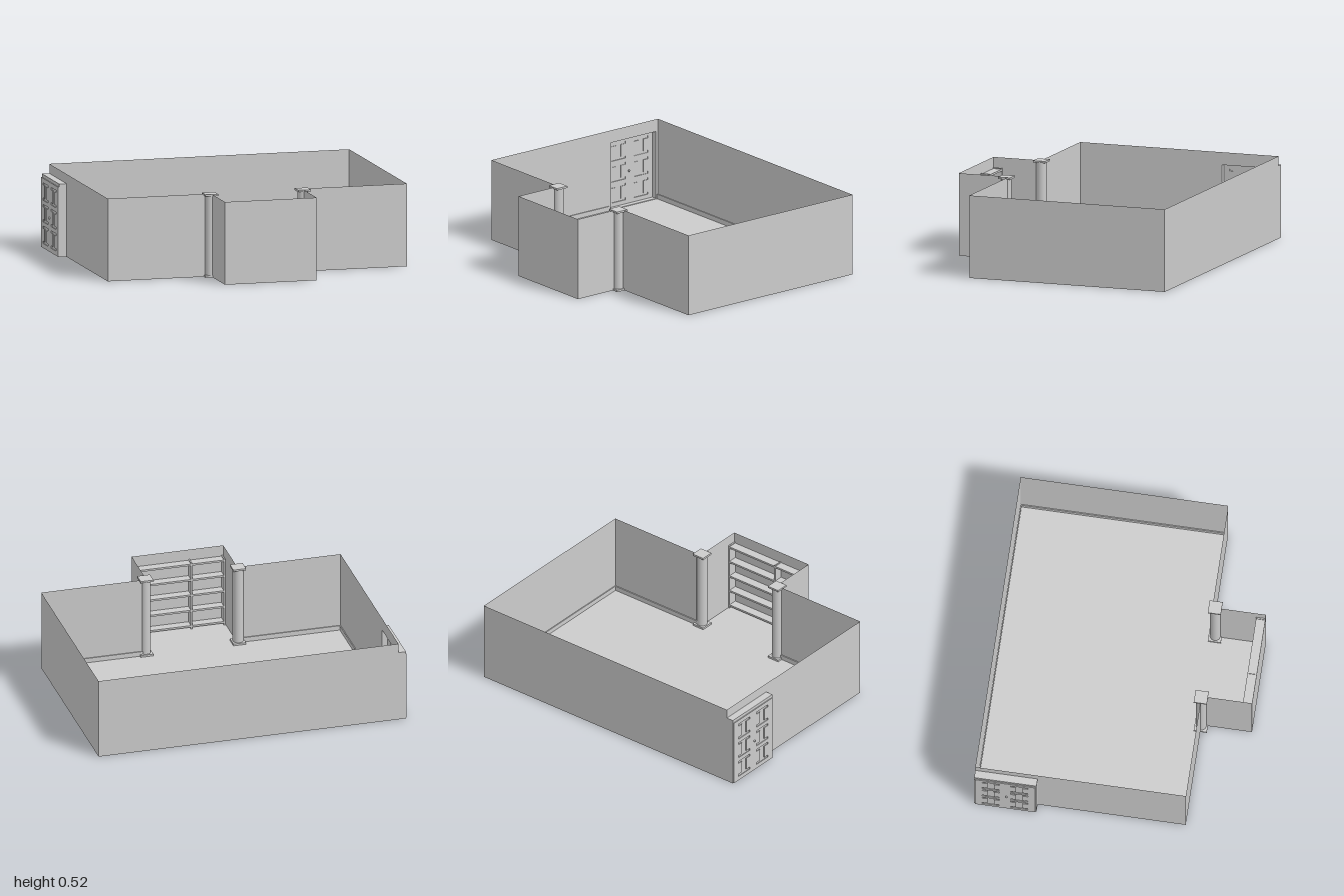
import * as THREE from 'three';

const H = 0.52, LEFT = -0.935, BACK = -0.82;

export function createModel() {
  const room = new THREE.Group();
  room.name = 'room';
  const mat = new THREE.MeshStandardMaterial({ color: 0xcccccc });
  const sheet = new THREE.MeshStandardMaterial({ color: 0xcccccc, side: THREE.DoubleSide });

  const add = (name, geo, parent = room, material = mat) => {
    const mesh = new THREE.Mesh(geo, material);
    mesh.name = name;
    parent.add(mesh);
    return mesh;
  };
  // box given by its extents on each axis
  const box = (name, x0, x1, y0, y1, z0, z1, parent) => {
    const m = add(name, new THREE.BoxGeometry(x1 - x0, y1 - y0, z1 - z0), parent);
    m.position.set((x0 + x1) / 2, (y0 + y1) / 2, (z0 + z1) / 2);
    return m;
  };
  // thin upright wall between two floor points
  const wall = (name, [x0, z0], [x1, z1], y0 = 0, y1 = H) => {
    const m = add(name, new THREE.PlaneGeometry(Math.hypot(x1 - x0, z1 - z0), y1 - y0), room, sheet);
    m.position.set((x0 + x1) / 2, (y0 + y1) / 2, (z0 + z1) / 2);
    m.rotation.y = -Math.atan2(z1 - z0, x1 - x0);
  };

  // Floor with the front alcove
  const plan = [[LEFT, BACK], [0.997, BACK], [0.997, 0.48], [0.32, 0.48], [0.32, 0.815],
    [-0.27, 0.815], [-0.27, 0.498], [LEFT, 0.498]];
  const floorShape = new THREE.Shape(plan.map(([x, z]) => new THREE.Vector2(x, -z)));
  add('floor', new THREE.ShapeGeometry(floorShape), room, sheet).rotation.x = -Math.PI / 2;

  // Walls; the last stretch leaves the doorway open below its lintel
  const names = ['backWall', 'leftWall', 'frontWallLeft', 'alcoveSideLeft', 'alcoveFront',
    'alcoveSideRight', 'frontWallRight'];
  names.forEach((n, i) => wall(n, plan[i], plan[i + 1]));
  wall('rightWall', plan[7], [LEFT, -0.43]);
  wall('doorLintelWall', [LEFT, -0.43], [LEFT, BACK], 0.46, H);

  // Baseboards along the main room
  const t = 0.006, b = 0.03;
  box('baseboardBack', LEFT, 0.997, 0, b, BACK, BACK + t);
  box('baseboardLeft', 0.997 - t, 0.997, 0, b, BACK, 0.48);
  box('baseboardFrontLeft', 0.32, 0.997, 0, b, 0.48 - t, 0.48);
  box('baseboardFrontRight', LEFT, -0.27, 0, b, 0.498 - t, 0.498);
  box('baseboardRight', LEFT, LEFT + t, 0, b, -0.43, 0.498);

  // Door frame
  const doorway = new THREE.Group();
  doorway.name = 'doorway';
  room.add(doorway);
  box('jambBack', -0.983, LEFT, 0, 0.46, BACK, BACK + 0.015, doorway);
  box('jambFront', -0.983, LEFT, 0, 0.46, -0.445, -0.43, doorway);
  box('doorHead', -0.983, LEFT, 0.44, 0.46, BACK, -0.43, doorway);
  box('threshold', -0.983, LEFT, 0, 0.004, BACK, -0.43, doorway);

  // Door leaf with six sunk I-shaped panels on both faces
  const leaf = new THREE.Shape([[-0.815, 0.002], [-0.437, 0.002], [-0.437, 0.44], [-0.815, 0.44]]
    .map(p => new THREE.Vector2(...p)));
  const half = [[0.055, -0.055], [0.055, -0.04], [0.02, -0.04], [0.02, 0.04], [0.055, 0.04], [0.055, 0.055]];
  const outline = [...half, ...half.map(([x, y]) => [-x, y]).reverse()];
  for (const cz of [-0.715, -0.537])
    for (const cy of [0.085, 0.221, 0.357])
      leaf.holes.push(new THREE.Path(outline.map(([x, y]) => new THREE.Vector2(cz + x, cy + y))));
  const door = add('door', new THREE.ExtrudeGeometry(leaf, { depth: 0.019, bevelEnabled: false }), doorway);
  door.rotation.y = -Math.PI / 2;
  door.position.x = -0.97;
  box('doorCore', -0.984, -0.975, 0.004, 0.438, -0.813, -0.439, doorway);
  for (const [x, n] of [[-0.993, 'knobOutside'], [-0.965, 'knobInside']]) {
    const knob = add(n, new THREE.SphereGeometry(0.007, 12, 8), doorway);
    knob.position.set(x, 0.215, -0.617);
  }

  // Columns with square base and cap
  for (const [x, side] of [[-0.275, 'Right'], [0.322, 'Left']]) {
    const column = new THREE.Group();
    column.name = 'column' + side;
    column.position.set(x, 0, 0.498);
    room.add(column);
    const r = 0.041;
    box('columnBase', -r, r, 0, 0.012, -r, r, column);
    box('columnCap', -r, r, 0.51, 0.522, -r, r, column);
    add('columnShaft', new THREE.CylinderGeometry(0.033, 0.033, 0.5, 20), column).position.y = 0.261;
  }

  // Bookcase filling the end of the alcove
  const shelves = new THREE.Group();
  shelves.name = 'bookcase';
  room.add(shelves);
  const z0 = 0.755, z1 = 0.812;
  for (const x of [-0.266, -0.054, 0.31])
    box('bookcaseUpright', x, x + 0.009, 0, 0.455, z0, z1, shelves);
  for (let i = 0; i < 5; i++) {
    const y = 0.025 + i * 0.106;
    box('shelf', -0.262, 0.315, y - 0.012, y, z0, z1, shelves);
  }
  return room;
}
